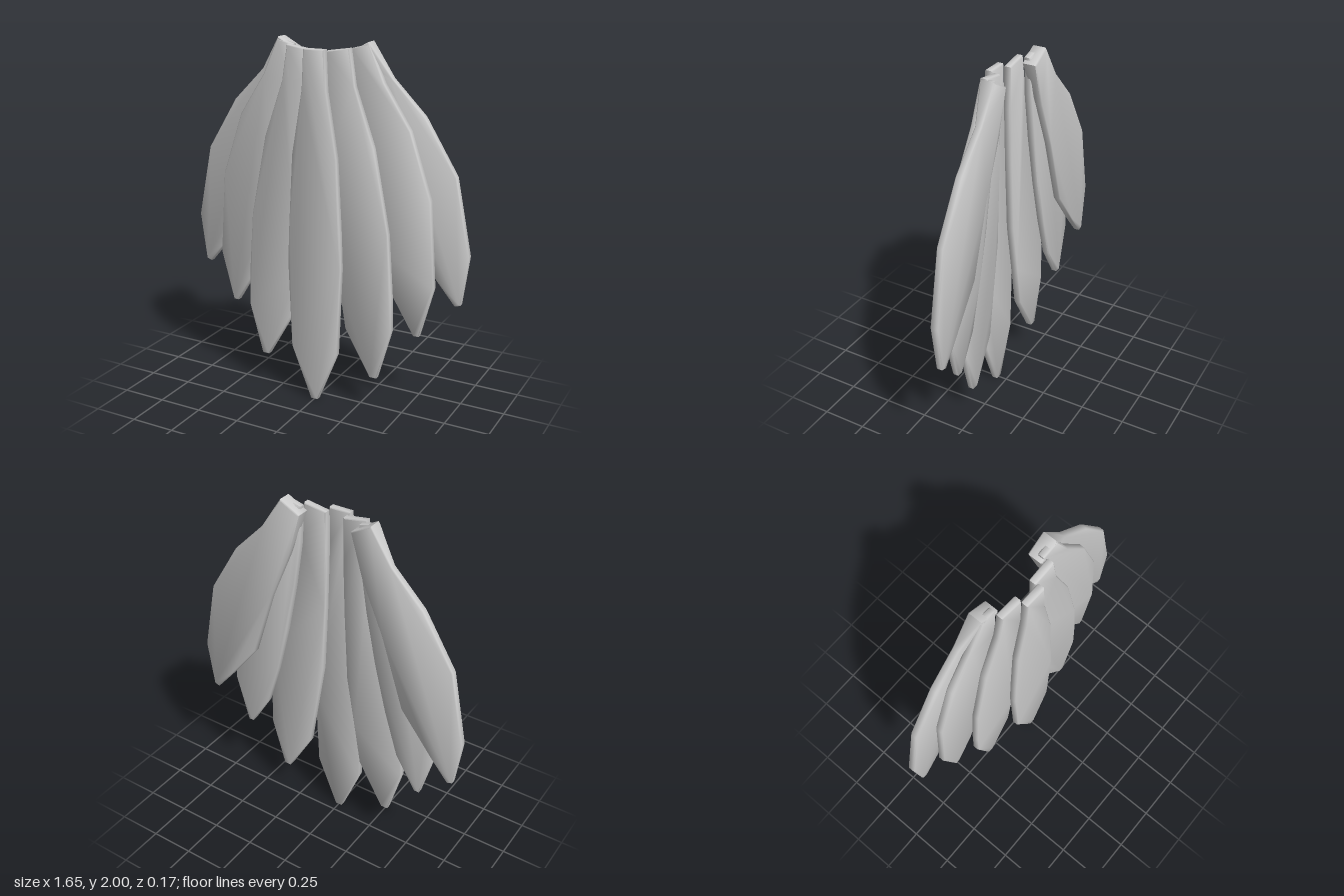
import * as THREE from 'three';
import { toCreasedNormals } from 'three/addons/utils/BufferGeometryUtils.js';

const THICK = 0.041;
const BEVEL = 0.006;

// Outlines: outer edge from root to tip, then inner edge from tip back to root.
const feathers = [
  { name: 'secondFeather', z: 0.003, outline: [
    [0.18, 1.97], [0.21, 1.78], [0.32, 1.47], [0.41, 1.02], [0.435, 0.68], [0.44, 0.48], [0.36, 0.19],
    [0.32, 0.19], [0.17, 0.45], [0.13, 0.7], [0.08, 1.0], [0.06, 1.4], [0.05, 1.72], [0.05, 1.95]] },
  { name: 'thirdFeather', z: -0.045, outline: [
    [0.265, 1.99], [0.35, 1.8], [0.5, 1.57], [0.62, 1.22], [0.655, 0.75], [0.58, 0.465],
    [0.55, 0.465], [0.43, 0.66], [0.35, 0.92], [0.28, 1.2], [0.22, 1.5], [0.18, 1.76], [0.17, 1.965]] },
  { name: 'outerFeather', z: -0.087, rootLift: 0.04, outline: [
    [0.26, 2.0], [0.38, 1.82], [0.56, 1.64], [0.74, 1.35], [0.825, 0.94], [0.79, 0.67],
    [0.76, 0.66], [0.65, 0.79], [0.47, 1.02], [0.34, 1.42], [0.22, 1.7], [0.15, 1.94]] },
];

const centreHalf = [[0.06, 1.96], [0.07, 1.75], [0.13, 1.4], [0.152, 1.0], [0.16, 0.8], [0.14, 0.3], [0.02, 0]];

const material = new THREE.MeshStandardMaterial({ color: 0xcccccc });

// A flat plate with softened edges; rootLift thickens its root towards the front.
function makeFeather(name, outline, z, rootLift = 0) {
  const shape = new THREE.Shape(outline.map(([x, y]) => new THREE.Vector2(x, y)));
  const geometry = new THREE.ExtrudeGeometry(shape, {
    depth: THICK - 2 * BEVEL, bevelEnabled: true, bevelSegments: 1,
    bevelSize: BEVEL, bevelThickness: BEVEL, bevelOffset: -BEVEL,
  });
  geometry.translate(0, 0, BEVEL);
  const p = geometry.attributes.position;
  for (let i = 0; i < p.count; i++) {
    if (p.getZ(i) > THICK / 2) {
      p.setZ(i, p.getZ(i) + rootLift * THREE.MathUtils.smoothstep(p.getY(i), 1.82, 1.93));
    }
  }
  const mesh = new THREE.Mesh(toCreasedNormals(geometry, 0.95), material);
  mesh.name = name;
  mesh.position.z = z;
  return mesh;
}

const mirror = (points) => points.map(([x, y]) => [-x, y]);

export function createModel() {
  const group = new THREE.Group();
  group.name = 'featherFan';

  // Front layer: symmetric centre feather
  group.add(makeFeather('centreFeather', [...centreHalf, ...mirror(centreHalf).reverse()], 0.047));

  // Layers behind, in mirrored pairs
  for (const { name, outline, z, rootLift } of feathers) {
    group.add(makeFeather(name + 'Left', outline, z, rootLift));
    group.add(makeFeather(name + 'Right', mirror(outline), z, rootLift));
  }
  return group;
}
